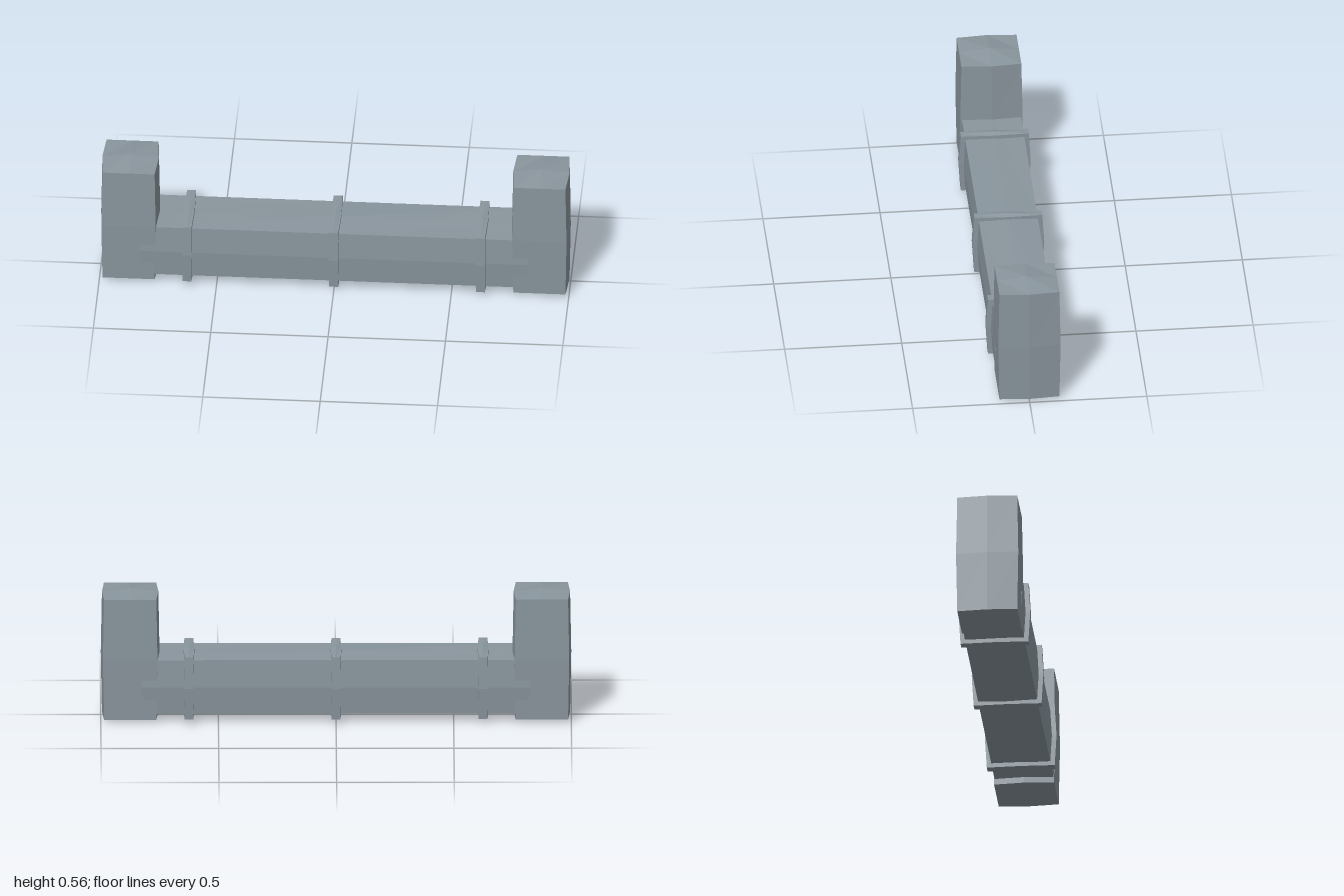
import * as THREE from 'three';

// Box whose faces swell: mid lines move outwards, corners stay put.
// half: corner half sizes. swell.xz = extra x where z is central, and so on;
// swell.apexY = extra height in the middle of the top and bottom.
function swollenBox(half, swell) {
  const geometry = new THREE.BoxGeometry(2, 2, 2, 2, 2, 2);
  const p = geometry.attributes.position;
  const extra = (key, on) => (on ? swell[key] || 0 : 0);
  for (let i = 0; i < p.count; i++) {
    const x = p.getX(i), y = p.getY(i), z = p.getZ(i);
    p.setXYZ(
      i,
      x * (half[0] + extra('xy', y === 0) + extra('xz', z === 0)),
      y * (half[1] + extra('apexY', x === 0 && z === 0)),
      z * (half[2] + extra('zy', y === 0))
    );
  }
  const flat = geometry.toNonIndexed();
  flat.computeVertexNormals();
  return flat;
}

export function createModel() {
  const group = new THREE.Group();
  group.name = 'barrier';
  const stone = new THREE.MeshStandardMaterial({ color: 0x89959d, flatShading: true });
  stone.name = 'blue grey stone';

  const add = (name, geometry, x, y) => {
    const mesh = new THREE.Mesh(geometry, stone);
    mesh.name = name;
    mesh.position.set(x, y, 0);
    group.add(mesh);
  };

  // Long beam running into both posts
  add('beam', swollenBox([0.805, 0.119, 0.126], { xy: 0.025, xz: 0.01, apexY: 0.006, zy: 0.007 }), 0, 0.16);

  // Upright end posts
  const post = swollenBox([0.111, 0.2665, 0.128], { xy: 0.005, xz: 0.009, apexY: 0.0145, zy: 0.005 });
  add('leftPost', post, 0.875, 0.2815);
  add('rightPost', post, -0.875, 0.2815);

  // Bands around the beam
  const band = swollenBox([0.019, 0.137, 0.145], { xy: 0.002, xz: 0.004, apexY: 0.006, zy: 0.008 });
  for (const x of [-0.625, 0, 0.625]) add('band', band, x, 0.159);

  return group;
}
